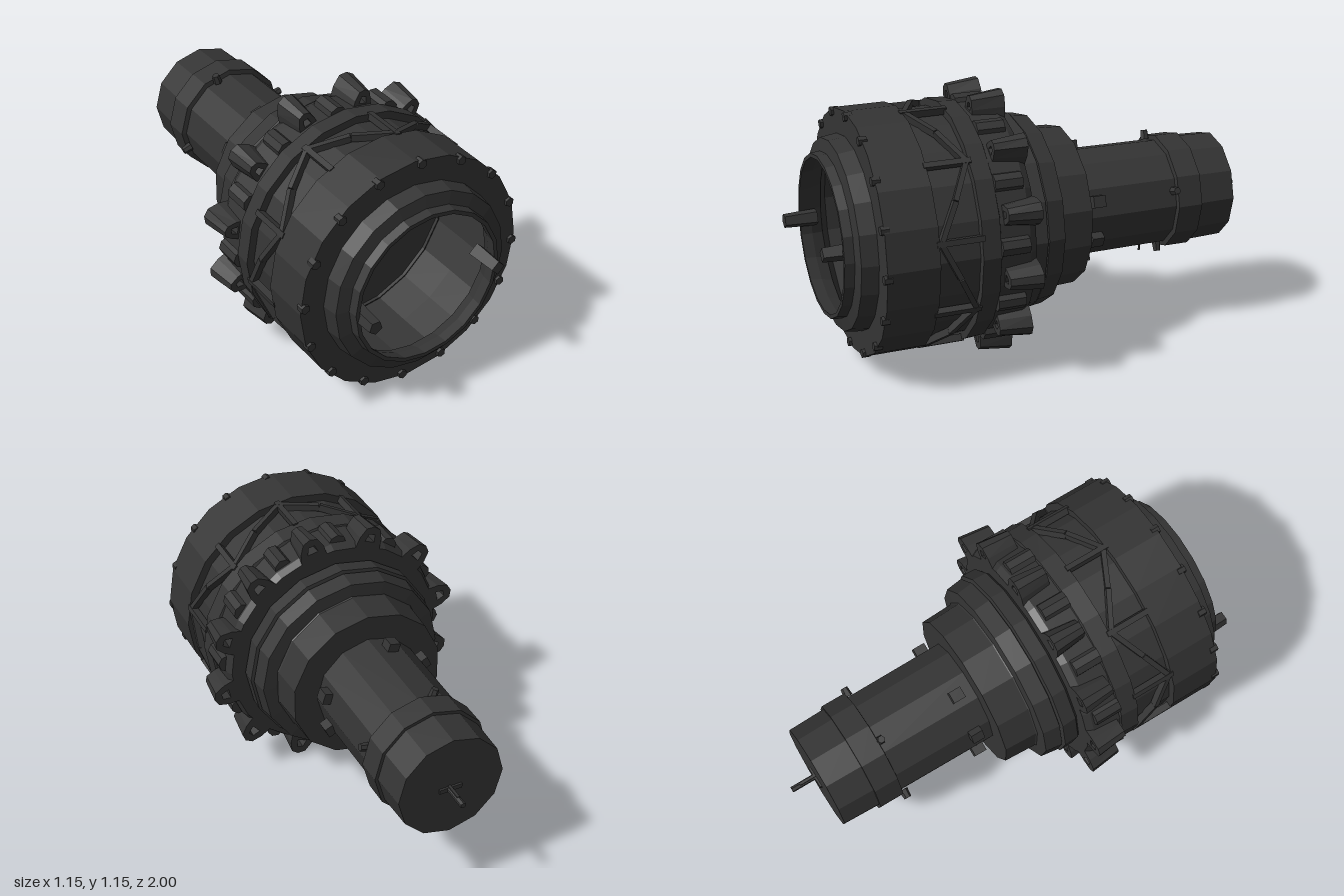
import * as THREE from 'three';

const AXIS_Y = 0.58;
const metal = new THREE.MeshStandardMaterial({ color: 0x343434, flatShading: true, side: THREE.DoubleSide });
metal.name = 'dark metal';

const rad = (deg) => deg * Math.PI / 180;
// Point at an angle and radius around the z axis
const polar = (deg, r, z) => new THREE.Vector3(r * Math.cos(rad(deg)), r * Math.sin(rad(deg)), z);

function add(parent, name, geometry, position) {
  const mesh = new THREE.Mesh(geometry, metal);
  mesh.name = name;
  if (position) mesh.position.copy(position);
  parent.add(mesh);
  return mesh;
}

// Turned part along z from [radius, z] pairs
function turned(parent, name, sides, profile) {
  const g = new THREE.LatheGeometry(profile.map(([r, z]) => new THREE.Vector2(r, z)), sides);
  g.rotateX(Math.PI / 2);
  return add(parent, name, g);
}

// Low-poly rod lying along z
function rod(parent, name, r, length, sides, position, r2 = r) {
  return add(parent, name, new THREE.CylinderGeometry(r2, r, length, sides).rotateX(Math.PI / 2), position);
}

// Straight bar between two points on the drum wall
function bar(parent, name, a, b, width, depth) {
  const mid = a.clone().add(b).multiplyScalar(0.5);
  const mesh = add(parent, name, new THREE.BoxGeometry(width, depth, a.distanceTo(b)), mid);
  const dir = b.clone().sub(a).normalize();
  const side = new THREE.Vector3(mid.x, mid.y, 0).normalize().cross(dir).normalize();
  mesh.quaternion.setFromRotationMatrix(new THREE.Matrix4().makeBasis(side, dir.clone().cross(side), dir));
}

// Outline in radial x / tangential y, extruded along z
function outline(points) {
  return points.map(([x, y]) => new THREE.Vector2(x, y));
}

export function createModel() {
  const model = new THREE.Group();
  model.name = 'motorModule';
  const body = new THREE.Group();
  body.name = 'body';
  body.position.y = AXIS_Y;
  model.add(body);

  // Hollow front drum with its stepped collar and recessed floor
  turned(body, 'frontDrum', 20, [
    [0.485, 0.58], [0.522, 0.58], [0.522, 0.80], [0.415, 0.80], [0.405, 0.87], [0.35, 0.88],
    [0.345, 0.92], [0.328, 0.92], [0.335, 0.87], [0.355, 0.82], [0.46, 0.77], [0.465, 0.58],
  ]);
  turned(body, 'cageWall', 20, [[0.487, 0.38], [0.487, 0.60], [0.465, 0.60], [0.465, 0.38]]);
  turned(body, 'cavityFloor', 20, [[0.48, 0.38], [0, 0.38]]);

  // Rear band and sprocket base
  turned(body, 'rearBand', 20, [[0.47, 0.30], [0.515, 0.32], [0.52, 0.40], [0.46, 0.40]]);
  turned(body, 'sprocketRing', 24, [[0.40, 0.16], [0.49, 0.16], [0.505, 0.19], [0.505, 0.33], [0.45, 0.33]]);

  // Braced cage: lengthwise bars with alternating diagonals
  for (let i = 0; i < 10; i++) {
    const a = 10 + i * 36;
    bar(body, 'cageBar', polar(a, 0.505, 0.39), polar(a, 0.505, 0.59), 0.024, 0.03);
    const [z0, z1] = i % 2 ? [0.41, 0.57] : [0.57, 0.41];
    const m = polar(a + 18, 0.505, 0.49);
    bar(body, 'cageDiagonal', polar(a, 0.505, z0), m, 0.022, 0.03);
    bar(body, 'cageDiagonal', m, polar(a + 36, 0.505, z1), 0.022, 0.03);
  }

  // Looped sprocket teeth with low lugs between them
  const toothShape = new THREE.Shape(outline([
    [0.48, -0.06], [0.53, -0.054], [0.575, -0.034], [0.587, 0], [0.575, 0.034], [0.53, 0.054], [0.48, 0.06],
  ]));
  toothShape.holes.push(new THREE.Path(outline([[0.515, -0.024], [0.515, 0.024], [0.55, 0.014], [0.55, -0.014]])));
  const lugShape = new THREE.Shape(outline([[0.48, -0.045], [0.522, -0.03], [0.535, 0], [0.522, 0.03], [0.48, 0.045]]));
  const toothGeo = new THREE.ExtrudeGeometry(toothShape, { depth: 0.14, bevelEnabled: false });
  // Teeth narrow toward the front
  const p = toothGeo.attributes.position;
  for (let i = 0; i < p.count; i++) {
    if (p.getZ(i) > 0.1) {
      p.setY(i, p.getY(i) * 0.72);
      p.setX(i, 0.48 + (p.getX(i) - 0.48) * 0.85);
    }
  }
  const lugGeo = new THREE.ExtrudeGeometry(lugShape, { depth: 0.12, bevelEnabled: false });
  for (let i = 0; i < 12; i++) {
    const tooth = add(body, 'sprocketTooth', toothGeo, new THREE.Vector3(0, 0, 0.16));
    tooth.rotation.z = rad(19 + i * 30);
    const lug = add(body, 'sprocketLug', lugGeo, new THREE.Vector3(0, 0, 0.2));
    lug.rotation.z = rad(34 + i * 30);
  }

  // Rim bolts
  for (let i = 0; i < 16; i++) {
    const a = -3 + i * 22.5;
    rod(body, 'rimBolt', 0.02, 0.035, 6, polar(a, 0.506, 0.795));
  }

  // Floor bolts
  const floorBolts = [[-0.11, 0.115], [-0.01, 0.16], [0.095, 0.12], [0.14, 0.055], [-0.155, -0.05],
    [-0.11, -0.115], [0.045, -0.145], [0.11, -0.1], [0.29, 0.105], [0.3, -0.055]];
  for (const [x, y] of floorBolts) rod(body, 'floorBolt', 0.019, 0.03, 6, new THREE.Vector3(x, y, 0.39));

  // Two locating pins at the mouth
  rod(body, 'locatingPin', 0.038, 0.14, 5, new THREE.Vector3(-0.303, -0.025, 0.925), 0.031);
  rod(body, 'locatingPin', 0.038, 0.14, 4, new THREE.Vector3(0.285, 0.028, 0.925), 0.031);

  // Stepped rear housing
  turned(body, 'rearFlange', 16, [
    [0, -0.005], [0.36, -0.005], [0.415, 0], [0.425, 0.075], [0.41, 0.08], [0.435, 0.085], [0.432, 0.15], [0.40, 0.18],
  ]);
  turned(body, 'rearHub', 14, [[0, -0.155], [0.348, -0.155], [0.355, -0.01], [0.37, 0.01]]);

  // Motor tube, its collar and end cap
  turned(body, 'motorTube', 12, [[0.232, -0.62], [0.236, -0.15]]);
  turned(body, 'motorCollar', 12, [[0.22, -0.72], [0.254, -0.72], [0.254, -0.61], [0.22, -0.605]]);
  turned(body, 'motorCap', 12, [[0, -0.885], [0.235, -0.885], [0.24, -0.72]]);

  // Fixing blocks around the tube
  for (const a of [17, -25, 107, 155, 197, -73]) {
    const block = add(body, 'tubeBlock', new THREE.BoxGeometry(0.04, 0.05, 0.055), polar(a, 0.245, -0.23));
    block.rotation.z = rad(a);
  }
  for (const a of [17, 107, 197, -73]) {
    const stud = add(body, 'collarStud', new THREE.CylinderGeometry(0.016, 0.02, 0.04, 6), polar(a, 0.25, -0.595));
    stud.rotation.z = rad(a - 90);
  }

  // Thin drain wire under the tube
  add(body, 'drainWire', new THREE.CylinderGeometry(0.005, 0.005, 0.1, 5), new THREE.Vector3(-0.07, -0.255, -0.58));

  // Output spindle at the back
  rod(body, 'spindle', 0.013, 0.12, 6, new THREE.Vector3(0.01, -0.005, -0.94));
  add(body, 'spindleFin', new THREE.BoxGeometry(0.012, 0.03, 0.08), new THREE.Vector3(0.01, -0.005, -0.92));
  add(body, 'spindleBase', new THREE.BoxGeometry(0.1, 0.02, 0.012), new THREE.Vector3(0.005, -0.005, -0.888));

  return model;
}
